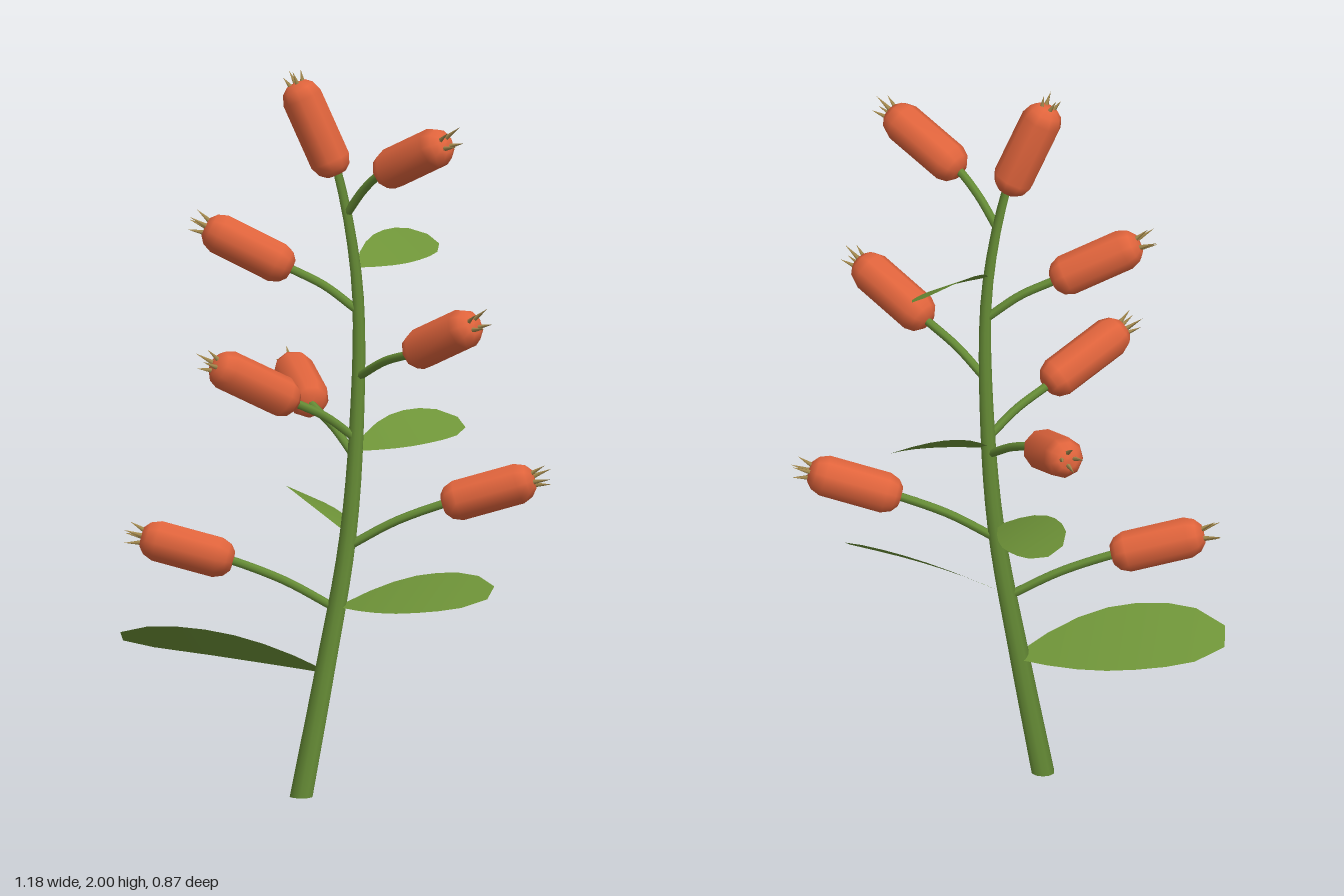
import * as THREE from 'three';

const V = (a) => new THREE.Vector3(...a);
const UP = new THREE.Vector3(0, 1, 0);

const stemGreen = new THREE.MeshStandardMaterial({ color: 0x668c36 });
stemGreen.name = 'stem green';
const leafGreen = new THREE.MeshStandardMaterial({ color: 0x6e9338, side: THREE.DoubleSide });
leafGreen.name = 'leaf green';
const fruitOrange = new THREE.MeshStandardMaterial({ color: 0xe0643c });
fruitOrange.name = 'fruit orange';
const spikeTan = new THREE.MeshStandardMaterial({ color: 0xa58a4e });
spikeTan.name = 'spike tan';

function part(name, geometry, material) {
  const mesh = new THREE.Mesh(geometry, material);
  mesh.name = name;
  return mesh;
}

// Main stem: a tapered cylinder whose rings follow a leaning curve
function makeStem() {
  const height = 1.74;
  const path = new THREE.CatmullRomCurve3([
    [-0.095, 0, 0.055], [-0.03, 0.35, 0.055], [0.03, 0.7, 0.054], [0.055, 1.0, 0.053],
    [0.06, 1.38, 0.052], [0.032, 1.6, 0.052], [0.0, 1.74, 0.05],
  ].map(V));
  const geo = new THREE.CylinderGeometry(0.012, 0.032, height, 10, 24);
  geo.translate(0, height / 2, 0);
  const pos = geo.attributes.position;
  for (let i = 0; i < pos.count; i++) {
    // find the curve point at this height
    let lo = 0, hi = 1;
    for (let k = 0; k < 20; k++) {
      const mid = (lo + hi) / 2;
      if (path.getPoint(mid).y < pos.getY(i)) lo = mid; else hi = mid;
    }
    const p = path.getPoint(lo);
    pos.setX(i, pos.getX(i) + p.x);
    pos.setZ(i, pos.getZ(i) + p.z);
  }
  return part('stem', geo, stemGreen);
}

// Fruit: blunt capsule with a few dry spikes at its outer end
function makeFruit(start, end, spikeLength = 0.06) {
  const a = V(start), dir = V(end).sub(a), len = dir.length(), r = 0.057;
  const group = new THREE.Group();
  group.name = 'fruit';
  const half = [[0, 0], [0.028, 0.003], [0.046, 0.018], [r, 0.045]];
  const profile = [
    ...half.map(([x, y]) => new THREE.Vector2(x, y)),
    ...half.slice().reverse().map(([x, y]) => new THREE.Vector2(x, len - y)),
  ];
  group.add(part('fruitBody', new THREE.LatheGeometry(profile, 9), fruitOrange));
  for (let i = 0; i < 4; i++) {
    const length = spikeLength * (i % 2 ? 1 : 0.85);
    const geo = new THREE.ConeGeometry(0.008, length, 5);
    geo.translate(0, length / 2, 0);
    geo.rotateZ(-0.28);
    geo.translate(0.016, len - 0.01, 0);
    geo.rotateY((i / 4) * Math.PI * 2 + 0.3);
    group.add(part('spike', geo, spikeTan));
  }
  group.position.copy(a);
  group.quaternion.setFromUnitVectors(UP, dir.normalize());
  return group;
}

// Stalk: thin tube arching slightly from the stem into the fruit
function makeStalk(root, start, end) {
  const a = V(root), b = V(start);
  const mid = a.clone().lerp(b, 0.5);
  mid.y += 0.011;
  const inner = b.clone().lerp(V(end), 0.1);
  const curve = new THREE.CatmullRomCurve3([a, mid, b, inner]);
  return part('stalk', new THREE.TubeGeometry(curve, 10, 0.012, 7), stemGreen);
}

// Leaf: thin blade of cross-sections along a bowed midline, rolled to one side
function makeLeaf(base, tip, halfWidth, roll, bow) {
  const a = V(base), b = V(tip);
  const dir = b.clone().sub(a).normalize();
  const side = dir.clone().cross(UP).normalize().applyAxisAngle(dir, roll);
  const widths = [0.12, 0.5, 0.78, 0.95, 1, 0.96, 0.8, 0.32];
  const n = widths.length - 1;
  const verts = [], index = [];
  widths.forEach((w, i) => {
    const t = i / n;
    const p = a.clone().lerp(b, t);
    p.y += 4 * bow * t * (1 - t);
    for (const s of [-1, 1]) {
      verts.push(...p.clone().addScaledVector(side, s * w * halfWidth).toArray());
    }
    if (i < n) {
      const k = i * 2;
      index.push(k, k + 1, k + 2, k + 1, k + 3, k + 2);
    }
  });
  const geo = new THREE.BufferGeometry();
  geo.setAttribute('position', new THREE.Float32BufferAttribute(verts, 3));
  geo.setIndex(index);
  geo.computeVertexNormals();
  return part('leaf', geo, leafGreen);
}

export function createModel() {
  const plant = new THREE.Group();
  plant.name = 'fruitingBranch';
  plant.add(makeStem());

  // Fruits: stalk root, fruit start, fruit end
  const fruits = [
    [[0.03, 1.61, 0.052], [0.13, 1.735, 0.14], [0.325, 1.85, 0.285]],
    [[0.055, 1.345, 0.052], [-0.12, 1.452, 0.05], [-0.358, 1.568, 0.05]],
    [[0.06, 1.16, 0.053], [0.22, 1.255, 0.225], [0.412, 1.368, 0.378]],
    [[0.053, 0.99, 0.053], [-0.1, 1.1, 0.145], [-0.312, 1.225, 0.27]],
    [[0.05, 0.94, 0.053], [-0.085, 1.045, -0.145], [-0.172, 1.115, -0.39]],
    [[0.03, 0.69, 0.054], [0.29, 0.812, 0.05], [0.542, 0.887, 0.05]],
    [[0.0, 0.52, 0.054], [-0.28, 0.645, 0.05], [-0.533, 0.71, 0.05]],
  ];
  for (const [root, start, end] of fruits) {
    plant.add(makeStalk(root, start, end), makeFruit(start, end));
  }
  // Fruit at the tip of the stem
  plant.add(makeFruit([0.003, 1.715, 0.05], [-0.11, 1.968, 0.05], 0.045));

  // Leaves: base, tip, half width, roll, bow
  const leaves = [
    [[-0.03, 0.345, 0.05], [-0.59, 0.425, 0.008], 0.118, 0.48, 0.025],
    [[0.02, 0.53, 0.06], [0.44, 0.6, 0.22], 0.09, 0.5, 0.015],
    [[0.02, 0.735, 0.04], [-0.135, 0.787, -0.26], 0.08, 0.45, 0.015],
    [[0.055, 0.96, 0.05], [0.325, 1.01, -0.12], 0.075, 0.5, 0.02],
    [[0.06, 1.465, 0.045], [0.24, 1.5, -0.2], 0.072, 0.5, 0.015],
  ];
  for (const leaf of leaves) plant.add(makeLeaf(...leaf));
  return plant;
}
